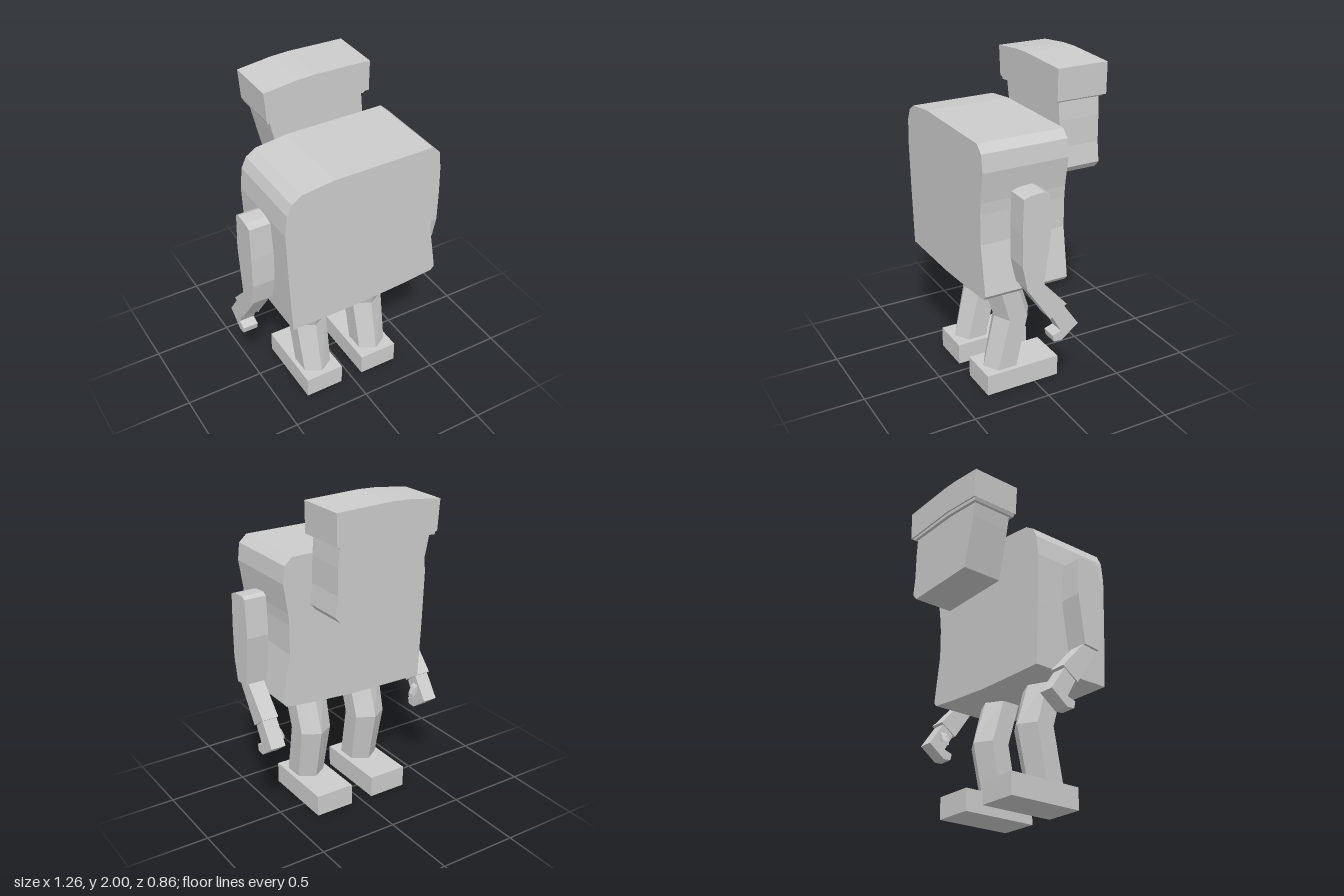
import * as THREE from 'three';

const grey = new THREE.MeshStandardMaterial({ color: 0xcccccc, flatShading: true });
grey.name = 'plain grey';

function part(name, geometry, parent) {
  const mesh = new THREE.Mesh(geometry, grey);
  mesh.name = name;
  parent.add(mesh);
  return mesh;
}

// Slab with an outline in (x, y), running from z0 to z1
function slabZ(points, z0, z1) {
  const shape = new THREE.Shape(points.map(([x, y]) => new THREE.Vector2(x, y)));
  return new THREE.ExtrudeGeometry(shape, { depth: z1 - z0, bevelEnabled: false }).translate(0, 0, z0);
}

// Slab with an outline in (z, y), running from x0 to x1
function slabX(points, x0, x1) {
  const shape = new THREE.Shape(points.map(([z, y]) => new THREE.Vector2(-z, y)));
  return new THREE.ExtrudeGeometry(shape, { depth: x1 - x0, bevelEnabled: false })
    .rotateY(Math.PI / 2).translate(x0, 0, 0);
}

// Six-sided leg: rings of [y, half width, front ridge z, front corner z, back corner z, back ridge z]
function legGeometry(rings) {
  const pos = [], index = [];
  for (const [y, w, f, fc, bc, b] of rings) {
    pos.push(0, y, f, w, y, fc, w, y, bc, 0, y, b, -w, y, bc, -w, y, fc);
  }
  for (let r = 0; r < rings.length - 1; r++) {
    for (let i = 0; i < 6; i++) {
      const a = r * 6 + i, b = r * 6 + (i + 1) % 6;
      index.push(a, b, b + 6, a, b + 6, a + 6);
    }
  }
  const top = (rings.length - 1) * 6;
  for (let i = 1; i < 5; i++) index.push(0, i + 1, i, top, top + i, top + i + 1);
  const g = new THREE.BufferGeometry();
  g.setAttribute('position', new THREE.Float32BufferAttribute(pos, 3));
  g.setIndex(index);
  const flat = g.toNonIndexed();
  flat.computeVertexNormals();
  return flat;
}

export function createModel() {
  const model = new THREE.Group();
  model.name = 'blockyFigure';

  // Big uneven block torso
  part('torso', slabZ([
    [-0.47, 0.73], [0, 0.735], [0.3, 0.755], [0.49, 0.775], [0.51, 0.8],
    [0.46, 1.1], [0.46, 1.28], [0.465, 1.35], [0.492, 1.53], [0.48, 1.635], [0.43, 1.68],
    [-0.2, 1.68], [-0.4, 1.655], [-0.46, 1.615], [-0.49, 1.55], [-0.503, 1.42], [-0.49, 1.1],
  ], -0.1, 0.43), model);

  // Head hangs behind the torso, under a flat cap
  const head = new THREE.Group();
  head.name = 'head';
  model.add(head);
  part('face', slabZ([
    [-0.19, 1.365], [0.31, 1.36], [0.345, 1.4], [0.328, 1.52], [0.325, 1.68],
    [0.315, 1.8], [-0.29, 1.79], [-0.267, 1.68],
  ], -0.4, -0.14), head);
  part('cap', slabZ([
    [-0.315, 1.785], [-0.04, 1.812], [0.35, 1.803], [0.352, 1.99], [0, 2], [-0.12, 1.995], [-0.33, 1.97],
  ], -0.43, -0.11), head);
  part('capUnderside', slabZ([
    [-0.305, 1.765], [-0.04, 1.79], [0.32, 1.787], [0.345, 1.806], [-0.04, 1.815], [-0.315, 1.788],
  ], -0.42, -0.12), head);

  for (const [side, s] of [['left', 1], ['right', -1]]) {
    // Arm: built on +x, then turned into its mirror image by choosing x limits
    const arm = new THREE.Group();
    arm.name = side + 'Arm';
    model.add(arm);
    const span = (points, a, b) => slabX(points, s > 0 ? a : -b, s > 0 ? b : -a);
    part('upperArm', span([
      [0.257, 1.4], [0.21, 1.415], [0.13, 1.42], [0.1, 1.405], [0.087, 1.17],
      [0.125, 0.86], [0.23, 0.848], [0.262, 1.0], [0.264, 1.2],
    ], 0.493, 0.632), arm);
    part('forearm', span([[0.23, 0.85], [0.125, 0.865], [-0.035, 0.69], [0.07, 0.615]], 0.513, 0.617), arm);
    part('hand', span([
      [-0.02, 0.68], [-0.12, 0.535], [-0.01, 0.452], [0.04, 0.455], [0.05, 0.497], [-0.005, 0.515], [0.055, 0.62],
    ], 0.517, 0.612), arm);
    part('thumb', slabZ([
      [0.525, 0.63], [0.5, 0.605], [0.482, 0.56], [0.482, 0.535], [0.5, 0.555], [0.525, 0.575],
    ].map(([x, y]) => [s * x, y]), -0.045, 0.0), arm);

    // Bent leg on a box foot
    const leg = new THREE.Group();
    leg.name = side + 'Leg';
    model.add(leg);
    part('shin and thigh', legGeometry([
      [0.1, 0.092, 0.3, 0.245, 0.12, 0.06],
      [0.47, 0.104, 0.218, 0.165, 0.045, -0.02],
      [0.77, 0.113, 0.315, 0.25, 0.13, 0.075],
    ]), leg).position.x = s * 0.203;
    part('foot', new THREE.BoxGeometry(0.25, 0.135, 0.49), leg).position.set(s * 0.2, 0.0675, 0.08);
  }

  return model;
}
